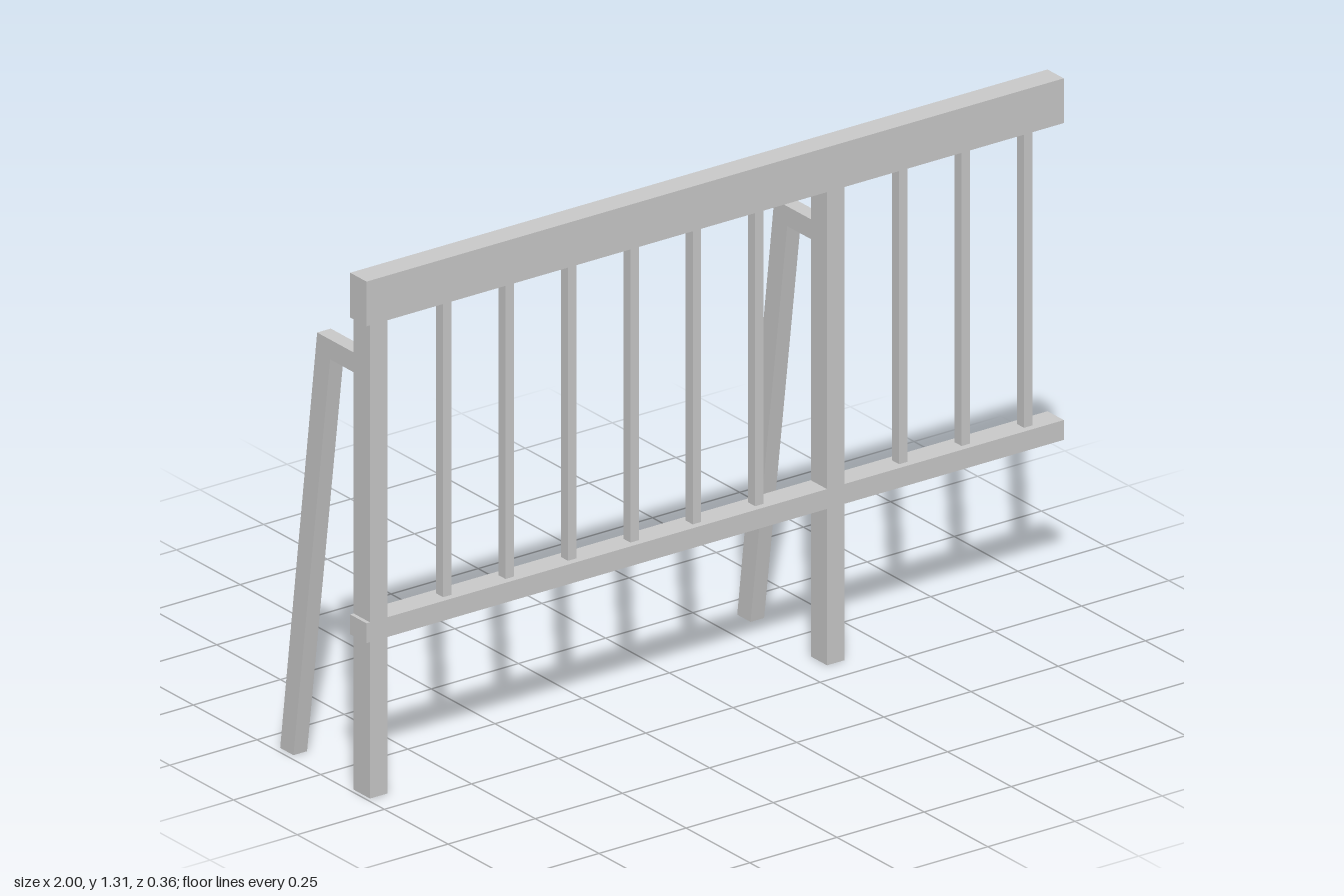
import * as THREE from 'three';

const material = new THREE.MeshStandardMaterial({ color: 0xcccccc, flatShading: true, side: THREE.DoubleSide });

const BACK = 0.116, FRONT = 0.18, MID = (BACK + FRONT) / 2;
const TOP_RAIL = [1.195, 1.308], LOW_RAIL = [0.395, 0.445];

// Open-ended square tube; each station gives its back/outer and front/inner edge as [z, y]
function openTube(name, x, width, stations) {
  const rings = stations.map(([[zo, yo], [zi, yi]]) => {
    const l = x - width / 2, r = x + width / 2;
    return [[l, yo, zo], [l, yi, zi], [r, yi, zi], [r, yo, zo]];
  });
  const positions = [];
  for (let s = 0; s < rings.length - 1; s++) {
    for (let i = 0; i < 4; i++) {
      const j = (i + 1) % 4;
      const a = rings[s][i], b = rings[s][j], c = rings[s + 1][i], d = rings[s + 1][j];
      positions.push(...a, ...c, ...d, ...a, ...d, ...b);
    }
  }
  const geometry = new THREE.BufferGeometry();
  geometry.setAttribute('position', new THREE.Float32BufferAttribute(positions, 3));
  geometry.computeVertexNormals();
  const mesh = new THREE.Mesh(geometry, material);
  mesh.name = name;
  return mesh;
}

// Upright tube between two heights
function upright(name, x, width, depth, y0, y1) {
  const zo = MID - depth / 2, zi = MID + depth / 2;
  return openTube(name, x, width, [[[zo, y1], [zi, y1]], [[zo, y0], [zi, y0]]]);
}

// Full-length closed rail
function rail(name, [y0, y1]) {
  const mesh = new THREE.Mesh(new THREE.BoxGeometry(2, y1 - y0, FRONT - BACK), material);
  mesh.position.set(0, (y0 + y1) / 2, MID);
  mesh.name = name;
  return mesh;
}

export function createModel() {
  const model = new THREE.Group();
  model.name = 'railing';
  model.add(rail('topRail', TOP_RAIL), rail('bottomRail', LOW_RAIL));

  // Posts, each with a bent brace leaning out behind
  for (const x of [-0.965, 0.346]) {
    model.add(upright('upperPost', x, 0.05, FRONT - BACK, LOW_RAIL[1], TOP_RAIL[0]));
    model.add(upright('lowerPost', x, 0.05, FRONT - BACK, 0, LOW_RAIL[0]));
    model.add(openTube('backBrace', x, 0.039, [
      [[BACK, 1.1], [BACK, 1.05]],
      [[-0.035, 1.1], [0.016, 1.05]],
      [[-0.18, 0], [-0.128, 0]],
    ]));
  }

  // Thin balusters, evenly spaced on either side of the second post
  for (const [start, count] of [[-0.755, 6], [0.553, 3]]) {
    for (let i = 0; i < count; i++) {
      model.add(upright('baluster', start + i * 0.179, 0.024, 0.028, LOW_RAIL[1], TOP_RAIL[0]));
    }
  }
  return model;
}
